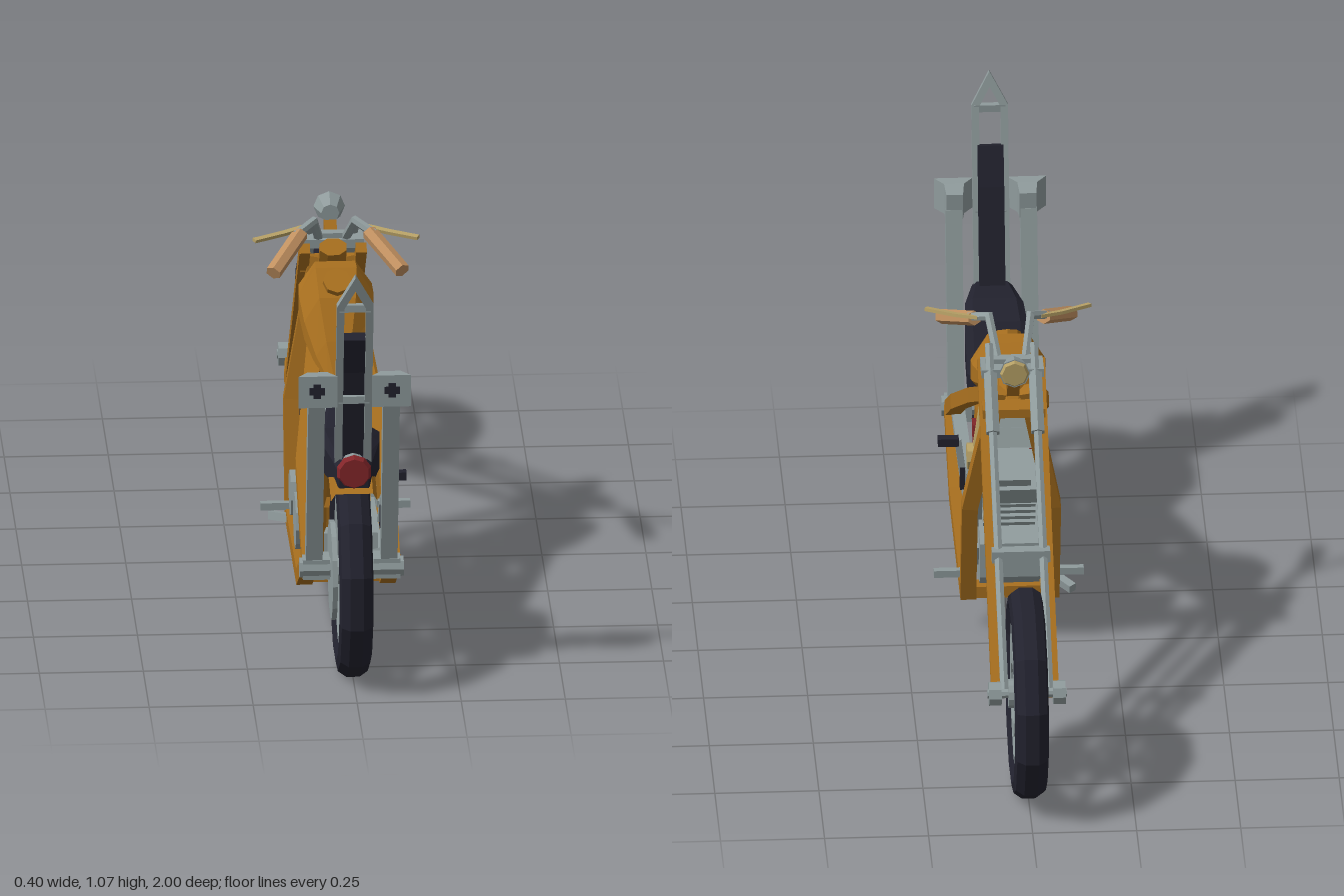
import * as THREE from 'three';

const mat = (name, color) => {
  const m = new THREE.MeshStandardMaterial({ color });
  m.name = name;
  return m;
};
const V = (x, y, z) => new THREE.Vector3(x, y, z);

// closed solid through rings of equal point count, counter-clockwise about the sweep
function loft(rings) {
  const pos = [], tri = (...p) => p.forEach(q => pos.push(q.x, q.y, q.z));
  const n = rings[0].length, last = rings[rings.length - 1];
  for (let i = 0; i < rings.length - 1; i++) for (let j = 0; j < n; j++) {
    const k = (j + 1) % n, a = rings[i], b = rings[i + 1];
    tri(a[j], a[k], b[k]);
    tri(a[j], b[k], b[j]);
  }
  for (let j = 1; j < n - 1; j++) {
    tri(rings[0][0], rings[0][j + 1], rings[0][j]);
    tri(last[0], last[j], last[j + 1]);
  }
  return new THREE.BufferGeometry().setAttribute('position', new THREE.Float32BufferAttribute(pos, 3));
}

// mitred bar along a polyline, w across and h deep; 4 sides gives a rectangular section
function bar(path, w, h = w, sides = 4) {
  const p = path.map(a => V(...a));
  const dirs = p.slice(1).map((q, i) => q.clone().sub(p[i]).normalize());
  const d0 = dirs[0], ref = Math.abs(d0.x) > 0.9 ? V(0, 0, 1) : V(1, 0, 0);
  const u = ref.addScaledVector(d0, -ref.dot(d0)).normalize();
  const v = d0.clone().cross(u), k = sides === 4 ? Math.SQRT2 : 1;
  let ring = Array.from({ length: sides }, (_, i) => {
    const a = (i + 0.5) / sides * Math.PI * 2;
    return p[0].clone().addScaledVector(u, Math.cos(a) * k * w / 2).addScaledVector(v, Math.sin(a) * k * h / 2);
  });
  const rings = [ring];
  for (let i = 1; i < p.length; i++) {
    const d = dirs[i - 1], nrm = d.clone().add(dirs[i] || d).normalize();
    ring = ring.map(q => q.clone().addScaledVector(d, p[i].clone().sub(q).dot(nrm) / d.dot(nrm)));
    rings.push(ring);
  }
  return loft(rings);
}

// eight-cornered sections along z: [z, halfWidth, yLow, yHigh]
const hull = sections => loft(sections.map(([z, w, lo, hi]) => {
  const m = (t) => lo + (hi - lo) * t;
  return [[w, m(.3)], [w, m(.6)], [w * .55, hi], [-w * .55, hi], [-w, m(.6)], [-w, m(.3)], [-w * .5, lo], [w * .5, lo]]
    .map(([x, y]) => V(x, y, z));
}));

// side outline in (z, y), thick from x0 to x1
function plate(outline, x0, x1) {
  const s = new THREE.Shape(outline.map(([z, y]) => new THREE.Vector2(-z, y)));
  return new THREE.ExtrudeGeometry(s, { depth: x1 - x0, bevelEnabled: false }).rotateY(Math.PI / 2).translate(x0, 0, 0);
}
const box = (w, h, d, x, y, z) => new THREE.BoxGeometry(w, h, d).translate(x, y, z);
const disc = (r, w, x, y, z, n = 12) => new THREE.CylinderGeometry(r, r, w, n).rotateZ(Math.PI / 2).translate(x, y, z);
const lathe = (pts, start = Math.PI / 12, len = Math.PI * 2, n = 12) =>
  new THREE.LatheGeometry(pts.map(q => new THREE.Vector2(...q)), n, start, len).rotateZ(Math.PI / 2);

export function createModel() {
  const root = new THREE.Group();
  root.name = 'chopperMotorcycle';
  const orange = mat('orange paint', 0xa9701f), steel = mat('steel', 0x8f9b9c), black = mat('black rubber', 0x22222e);
  const brass = mat('brass', 0xb8a267), grip = mat('tan grip', 0xc09060), red = mat('red', 0x84262a);
  orange.side = THREE.DoubleSide;

  const add = (name, geo, material, parent = root) => {
    const g = geo.index ? geo.toNonIndexed() : geo;
    g.computeVertexNormals();
    const m = new THREE.Mesh(g, material);
    m.name = name;
    parent.add(m);
    return m;
  };
  const both = (name, make, material) => [['Left', 1], ['Right', -1]].forEach(([t, s]) => add(name + t, make(s), material));

  // wheels
  const wheel = (name, z) => {
    const g = new THREE.Group();
    g.name = name;
    g.position.set(0, .253, z);
    root.add(g);
    add('tire', lathe([[.198, -.028], [.222, -.041], [.245, -.036], [.259, -.016], [.259, .016], [.245, .036], [.222, .041], [.198, .028], [.198, -.028]]), black, g);
    add('rim', lathe([[.182, -.024], [.208, -.032], [.208, .032], [.182, .024], [.182, -.024]]), steel, g);
    add('hub', disc(.035, .09, 0, 0, 0), steel, g);
    for (let i = 0; i < 6; i++) add('spoke', box(.022, .175, .018, 0, .105, 0).rotateX(i * Math.PI / 3), steel, g);
    return g;
  };
  const rear = wheel('rearWheel', .75), front = wheel('frontWheel', -.75);
  add('brakeRing', lathe([[.075, -.005], [.106, -.005], [.106, .005], [.075, .005], [.075, -.005]]).translate(.03, 0, 0), steel, front);
  add('frontAxle', disc(.012, .19, 0, 0, 0, 8), steel, front);
  add('sprocket', disc(.122, .012, -.045, 0, 0), steel, rear);
  add('rearAxle', disc(.026, .25, 0, .007, 0, 8), steel, rear);
  both('axleBlock', s => box(.065, .05, .06, s * .085, .26, .74), steel);

  // frame
  both('upperRail', s => bar([[s * .1, .26, .735], [s * .1, .42, .46], [s * .07, .545, .25], [s * .03, .70, -.04]], .036), orange);
  both('lowerLoop', s => bar([[s * .1, .265, .73], [s * .1, .148, .51], [s * .1, .138, .02], [s * .1, .40, -.045], [s * .035, .74, -.105]], .038), orange);
  add('steeringNeck', bar([[0, .79, -.03], [0, .69, -.115]], .07, .05, 8), orange);
  add('engineCradle', box(.2, .03, .04, 0, .135, .03), orange);
  add('rearCrossTube', box(.2, .03, .03, 0, .15, .5), orange);

  // front fork
  both('girder', s => bar([[s * .068, .785, -.035], [s * .068, .225, -.645], [s * .068, .22, -.685], [s * .062, .25, -.74]], .026), orange);
  both('forkTube', s => bar([[s * .054, .84, -.06], [s * .054, .255, -.745]], .022, .022, 6), steel);
  both('forkSleeve', s => bar([[s * .054, .79, -.12], [s * .054, .69, -.235]], .036, .036, 6), steel);
  both('axleNut', s => disc(.03, .03, s * .077, .253, -.75, 8), steel);
  add('forkBrace', bar([[-.07, .485, -.475], [.07, .485, -.475]], .03), steel);
  add('upperYoke', box(.15, .022, .07, 0, .79, -.085), steel);
  add('lowerYoke', box(.15, .022, .07, 0, .71, -.14), orange);

  // headlight
  add('headlightStem', bar([[0, .74, -.11], [0, .81, -.165]], .03), orange);
  add('headlight', new THREE.CylinderGeometry(.038, .022, .05, 8).rotateX(-Math.PI / 2).translate(0, .832, -.175), steel);
  add('headlightLens', new THREE.CylinderGeometry(.03, .036, .008, 8).rotateX(-Math.PI / 2).translate(0, .832, -.203), brass);

  // handlebars
  add('handlebarClamp', bar([[-.045, .80, -.075], [.045, .80, -.075]], .026), steel);
  both('handlebar', s => bar([[s * .03, .79, -.08], [s * .05, .875, .02], [s * .095, .855, .06]], .022, .022, 6), steel);
  both('handGrip', s => bar([[s * .083, .855, .05], [s * .155, .80, .17]], .04, .036, 6), grip);
  both('lever', s => bar([[s * .075, .865, .035], [s * .125, .86, .06], [s * .197, .858, .10]], .014, .008), brass);

  // tank
  add('tank', hull([[-.06, .025, .70, .72], [-.01, .055, .68, .735], [.055, .088, .64, .785], [.10, .09, .615, .785], [.16, .08, .58, .73], [.22, .055, .55, .64], [.26, .028, .54, .57]]), orange);
  add('fuelCap', new THREE.CylinderGeometry(.034, .034, .02, 8).rotateX(.7).translate(0, .76, .135), orange);

  // seat and backrest
  add('seat', loft([[.30, .025, .53, .55], [.40, .05, .485, .515], [.52, .075, .42, .475], [.60, .076, .465, .56], [.70, .07, .49, .572], [.80, .05, .495, .565], [.87, .035, .505, .55]]
    .map(([z, w, lo, hi]) => [[w, lo], [w, hi - .012], [w * .75, hi], [-w * .75, hi], [-w, hi - .012], [-w, lo]].map(([x, y]) => V(x, y, z)))), black);
  const lean = y => .745 + (y - .27) * .231;
  add('backrest', bar([[0, .55, lean(.55) - .022], [0, .80, lean(.80) - .022], [0, .895, lean(.895) - .012]], .062, .03), black);
  add('sissyBar', bar([[-.035, .47], [-.035, .985], [0, 1.05], [.035, .985], [.035, .47]].map(([x, y]) => [x, y, lean(y)]), .018), steel);
  for (const y of [.98, .725]) add('sissyCrossbar', box(.075, .018, .016, 0, y, lean(y)), steel);

  // rear fender and tail light
  add('rearFender', lathe([[.25, -.056], [.276, -.045], [.276, .045], [.25, .056]], 1.08, 2.3, 9).translate(0, .25, .75), orange);
  add('tailLightHousing', new THREE.CylinderGeometry(.04, .03, .05, 10).rotateX(Math.PI / 2).translate(0, .545, .84), steel);
  add('tailLight', new THREE.CylinderGeometry(.036, .043, .014, 10).rotateX(Math.PI / 2).translate(0, .545, .872), red);

  // exhausts with flared tips
  both('exhaustPipe', s => bar([[s * .075, .19, .10], [s * .075, .185, .48], [s * .088, .272, .70]], .032), steel);
  both('exhaustStack', s => bar([[s * .09, .25, .738], [s * .09, .74, .852]], .04, .044), steel);
  both('exhaustTip', s => loft([[.832, .02, .72, .785], [.862, .024, .72, .80], [.893, .047, .72, .80]]
    .map(([z, w, lo, hi]) => [[w, lo], [w, hi], [-w, hi], [-w, lo]].map(([x, y]) => V(s * .088 + x, y, z)))), steel);
  both('tipOpeningWide', s => box(.038, .018, .006, s * .09, .762, .893), black);
  both('tipOpeningTall', s => box(.018, .036, .006, s * .09, .762, .893), black);

  // engine
  add('crankcase', plate([[.31, .13], [.05, .13], [.0, .18], [.0, .27], [.07, .30], [.27, .30], [.31, .26]], -.072, .072), steel);
  add('timingCover', plate([[.27, .18], [.07, .18], [.04, .24], [.09, .28], [.25, .28]], .072, .088), steel);
  add('gearbox', plate([[.50, .16], [.30, .14], [.30, .27], [.34, .285], [.44, .285], [.49, .25]], -.07, .078), steel);
  add('primaryCase', plate([[.44, .17], [.06, .15], [.03, .24], [.09, .29], [.40, .30], [.45, .24]], -.09, -.07), steel);
  add('clutchCover', disc(.068, .03, -.1, .24, .37, 10), steel);
  add('alternatorCover', disc(.058, .025, -.1, .22, .12, 8), steel);
  for (const [name, s] of [['rearCylinder', 1], ['frontCylinder', -1]]) {
    const g = new THREE.Group();
    g.name = name;
    g.position.set(0, .27, .155 + s * .035);
    g.rotation.x = s * .42;
    root.add(g);
    add('barrel', box(.09, .16, .075, 0, .07, 0), steel, g);
    for (let i = 0; i < 5; i++) add('fin', box(.125, .011, .112, 0, .035 + i * .023, 0), steel, g);
    add('head', box(.13, .05, .125, 0, .17, 0), steel, g);
    add('rockerCover', box(.10, .025, .10, 0, .205, 0), steel, g);
    for (const z of [-.025, .02]) add('pushrod', box(.012, .15, .012, .07, .07, z), steel, g);
  }
  add('intakePipe', bar([[.045, .60, .165], [.07, .43, .165]], .032, .032, 6), brass);
  add('airCleaner', disc(.033, .05, .07, .425, .165, 8), brass);

  // oil tank and battery
  add('oilTank', plate([[.50, .32], [.33, .30], [.31, .40], [.36, .44], [.47, .41]], -.06, .06), orange);
  add('battery', plate([[.41, .40], [.35, .41], [.335, .33], [.37, .335]], -.07, .07), red);

  // foot controls
  both('footPeg', s => bar([[s * .10, .165, .06], [s * .18, .165, .06]], .018), steel);
  add('brakePedal', bar([[-.11, .14, .08], [-.152, .13, .03]], .02), steel);
  add('kickArm', bar([[.09, .24, .385], [.105, .36, .38]], .016), steel);
  add('kickPedal', box(.05, .02, .024, .128, .355, .38), black);
  add('kickLever', box(.012, .06, .02, .094, .255, .385), black);

  return root;
}
